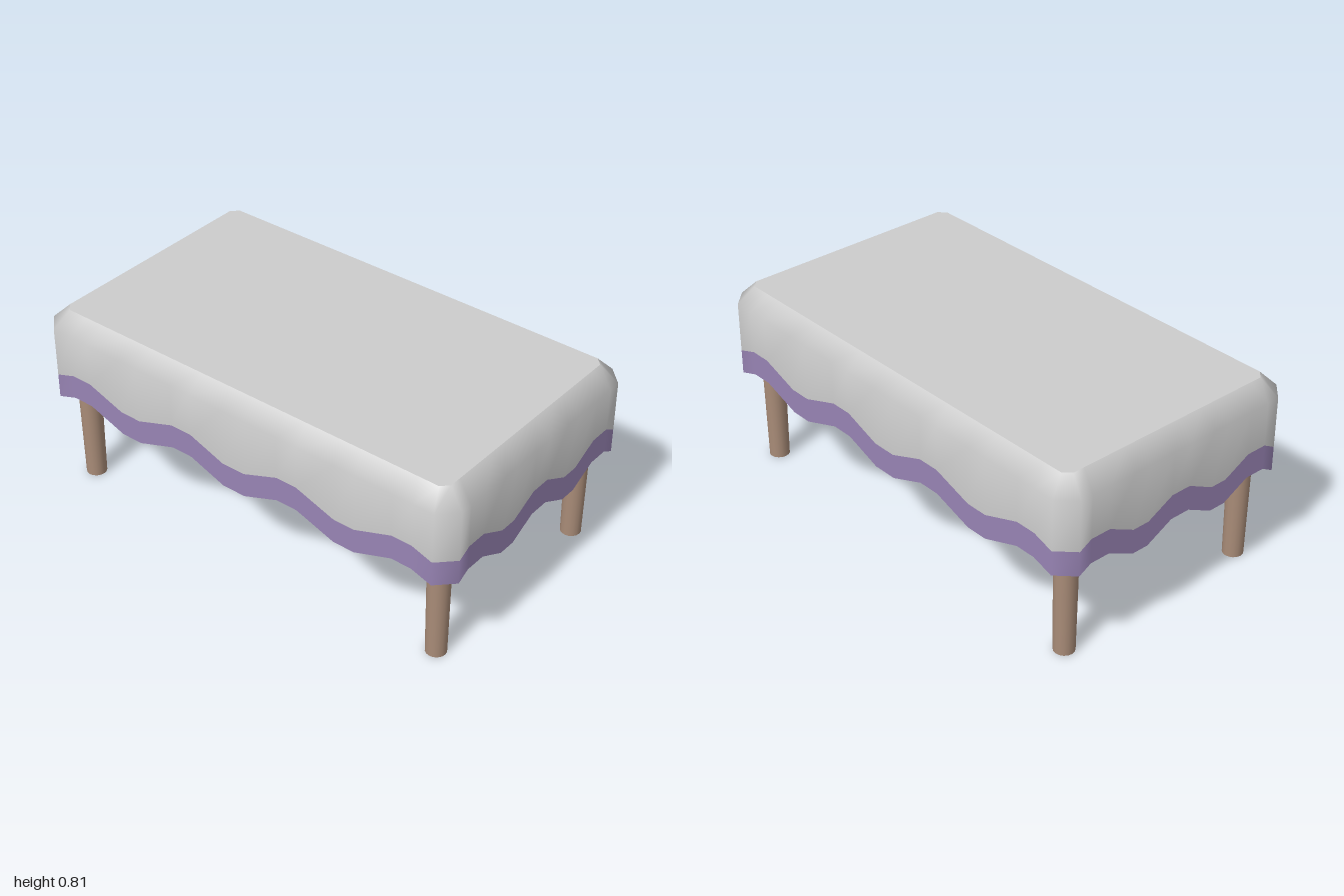
import * as THREE from 'three';

const cloth = new THREE.MeshStandardMaterial({ color: 0xcccccc, side: THREE.DoubleSide });
cloth.name = 'greyCloth';
const trim = new THREE.MeshStandardMaterial({ color: 0x9884b4, side: THREE.DoubleSide });
trim.name = 'lavenderTrim';
const wood = new THREE.MeshStandardMaterial({ color: 0xa98c78 });
wood.name = 'wood';

const HX = 0.575, HZ = 1, CUT = 0.07;            // chamfered outline
const TOP = 0.81, SHOULDER = 0.74, BAND = 0.105; // heights
const TX = 0.508, TZ = 0.93, TCUT = 0.03;        // flat top

// One side of the scalloped hem as [position along side, height], from a half list
function hemSide(half) {
  const left = half.map(([t, y]) => [-t, y]).reverse();
  return [...left, ...half];
}
const shortHem = hemSide([[0.045, 0.45], [0.165, 0.39], [0.24, 0.39], [0.36, 0.45], [0.45, 0.45], [HX - CUT, 0.42]]);
const longHem = hemSide([[0.053, 0.39], [0.215, 0.45], [0.31, 0.45], [0.485, 0.39], [0.58, 0.39],
  [0.75, 0.45], [0.84, 0.45], [HZ - CUT, 0.42]]);

// Full outline, counter-clockwise from above: front, left, back, right
function outline() {
  const points = [];
  const kx = (TX - TCUT) / (HX - CUT), kz = (TZ - TCUT) / (HZ - CUT);
  for (const s of [1, -1]) {
    for (const [t, y] of shortHem) points.push({ x: s * t, z: s * HZ, tx: s * t * kx, tz: s * TZ, y });
    for (const [t, y] of longHem) points.push({ x: s * HX, z: -s * t, tx: s * TX, tz: -s * t * kz, y });
  }
  return points;
}

// Draped sides: hem, trim edge, shoulder and top rings with shared smooth normals
function drapeGeometry(points) {
  const n = points.length, position = [], index = [];
  for (const p of points) position.push(p.x, p.y, p.z);
  for (const p of points) position.push(p.x, p.y + BAND, p.z);
  for (const p of points) position.push(p.x, SHOULDER, p.z);
  for (const p of points) position.push(p.tx, TOP, p.tz);
  for (let r = 0; r < 3; r++) {
    for (let i = 0; i < n; i++) {
      const a = r * n + i, b = r * n + (i + 1) % n;
      index.push(a, b, b + n, a, b + n, a + n);
    }
  }
  const g = new THREE.BufferGeometry();
  g.setAttribute('position', new THREE.Float32BufferAttribute(position, 3));
  g.setIndex(index);
  g.computeVertexNormals();
  g.addGroup(0, n * 6, 0);
  g.addGroup(n * 6, n * 12, 1);
  return g;
}

export function createModel() {
  const model = new THREE.Group();
  model.name = 'coveredTable';
  const add = (name, geometry, material, x = 0, y = 0, z = 0) => {
    const mesh = new THREE.Mesh(geometry, material);
    mesh.name = name;
    mesh.position.set(x, y, z);
    model.add(mesh);
    return mesh;
  };

  // Tablecloth with scalloped trim
  const points = outline();
  add('clothSides', drapeGeometry(points), [trim, cloth]);
  const topShape = new THREE.Shape(points.map(p => new THREE.Vector2(p.tx, -p.tz)));
  add('clothTop', new THREE.ShapeGeometry(topShape).rotateX(-Math.PI / 2), cloth, 0, TOP, 0);

  // Wooden table under the cloth
  add('tableSlab', new THREE.BoxGeometry(1.0, 0.24, 1.84), wood, 0, 0.65, 0);
  const leg = new THREE.CylinderGeometry(0.049, 0.0425, 0.55, 16);
  for (const [side, sx] of [['Left', 1], ['Right', -1]]) {
    for (const [end, sz] of [['front', 1], ['back', -1]]) {
      add(end + side + 'Leg', leg, wood, sx * 0.456, 0.275, sz * 0.882);
    }
  }
  return model;
}
